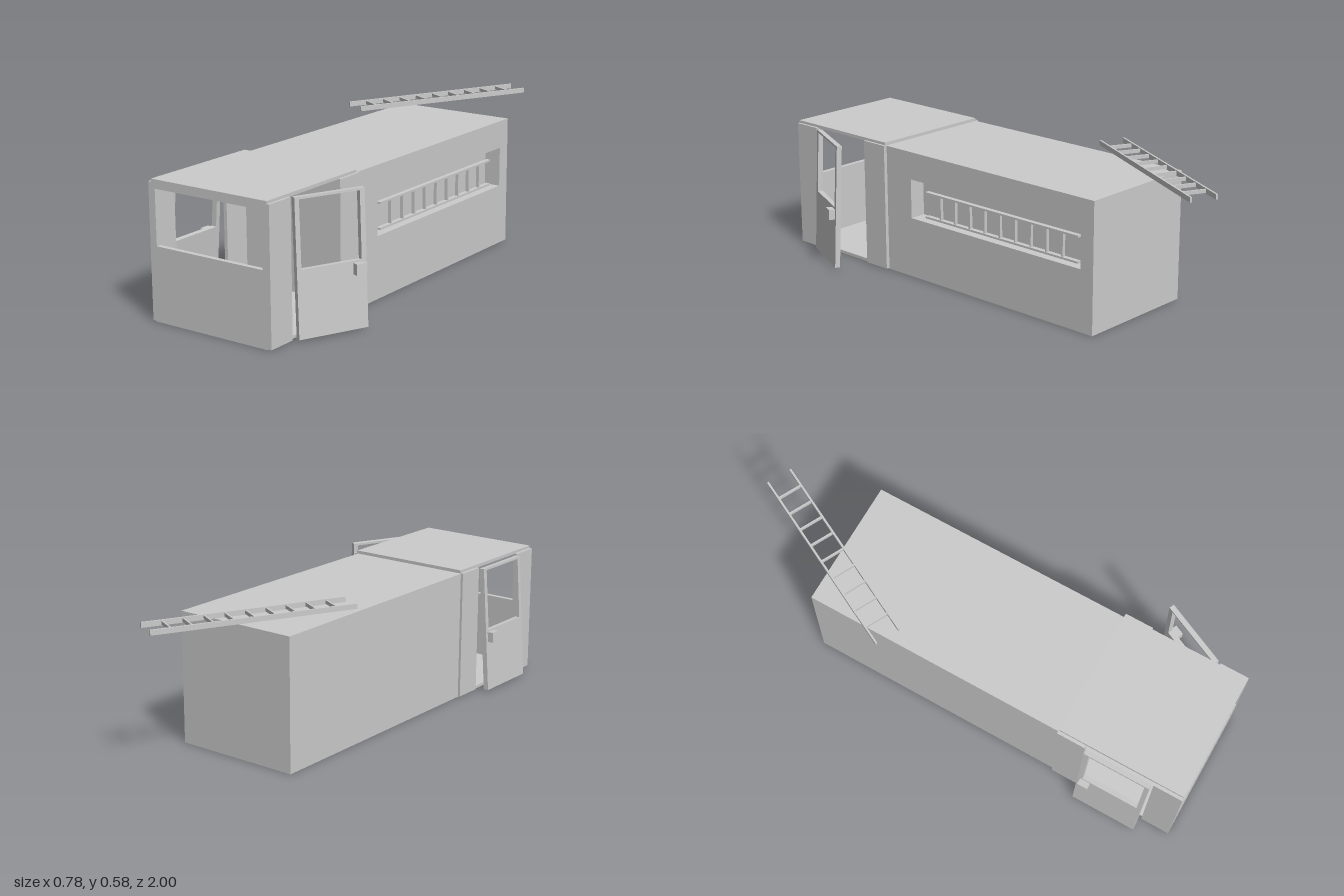
import * as THREE from 'three';

const material = new THREE.MeshStandardMaterial({ color: 0xcccccc, flatShading: true });

function add(parent, name, geometry) {
  const mesh = new THREE.Mesh(geometry, material);
  mesh.name = name;
  parent.add(mesh);
  return mesh;
}

// Box given by its limits along each axis
function box(parent, name, [x0, x1], [y0, y1], [z0, z1]) {
  const g = new THREE.BoxGeometry(x1 - x0, y1 - y0, z1 - z0);
  g.translate((x0 + x1) / 2, (y0 + y1) / 2, (z0 + z1) / 2);
  return add(parent, name, g);
}

// Upright plate with a rectangular opening; rectangles are [u0, u1, v0, v1]
function plate(outer, hole, depth) {
  const trace = (path, [u0, u1, v0, v1]) =>
    path.moveTo(u0, v0).lineTo(u1, v0).lineTo(u1, v1).lineTo(u0, v1).closePath();
  const shape = new THREE.Shape();
  trace(shape, outer);
  const opening = new THREE.Path();
  trace(opening, hole);
  shape.holes.push(opening);
  return new THREE.ExtrudeGeometry(shape, { depth, bevelEnabled: false });
}

// Ladder along z, its rails spaced along x and lying flat
function ladder(name) {
  const group = new THREE.Group();
  group.name = name;
  const length = 0.8, half = 0.055;
  for (const s of [-1, 1]) {
    const rail = add(group, 'ladderRail', new THREE.BoxGeometry(0.008, 0.02, length));
    rail.position.x = s * (half - 0.004);
  }
  for (let i = 1; i < 10; i++) {
    const rung = add(group, 'ladderRung', new THREE.BoxGeometry(2 * half - 0.016, 0.014, 0.007));
    rung.position.z = -length / 2 + i * length / 10;
  }
  return group;
}

// Door hinged at its front edge; side is +1 for left, -1 for right
function door(name, side, length) {
  const group = new THREE.Group();
  group.name = name;
  const thickness = 0.021;
  const panel = plate([0, length, 0, 0.517], [0.018, length - 0.02, 0.255, 0.508], thickness);
  panel.rotateY(Math.PI / 2);
  if (side < 0) panel.translate(-thickness, 0, 0);
  add(group, 'doorPanel', panel);
  const reach = [side * thickness, side * (thickness + 0.026)].sort((a, b) => a - b);
  box(group, 'doorHandle', reach, [0.205, 0.247], [-length + 0.012, -length + 0.055]);
  return group;
}

export function createModel() {
  const model = new THREE.Group();
  model.name = 'truck';

  // Rear body with a storage recess in its left side
  box(model, 'rearBody', [-0.305, 0.15], [0, 0.527], [-0.615, 0.475]);
  const wall = plate([-0.475, 0.615, 0, 0.527], [-0.335, 0.555, 0.25, 0.413], 0.07);
  wall.rotateY(Math.PI / 2);
  wall.translate(0.15, 0, 0);
  add(model, 'recessedSideWall', wall);

  // Hollow cab: floor, roof, front with windscreen opening, side panels
  box(model, 'cabFloor', [-0.305, 0.22], [0, 0.012], [0.475, 0.99]);
  box(model, 'cabRoof', [-0.302, 0.225], [0.527, 0.54], [0.475, 1]);
  const front = plate([-0.3, 0.215, 0, 0.527], [-0.285, 0.202, 0.29, 0.505], 0.02);
  front.translate(0, 0, 0.98);
  add(model, 'cabFront', front);
  for (const x of [[-0.315, -0.3], [0.215, 0.235]]) {
    box(model, 'frontSidePanel', x, [0.003, 0.529], [0.88, 1]);
    box(model, 'rearSidePanel', x, [0.003, 0.529], [0.472, 0.59]);
  }

  // Doors: the left one swung open, both leaning in at the top
  const leftDoor = door('leftDoor', 1, 0.28);
  leftDoor.position.set(0.245, 0.008, 0.87);
  leftDoor.rotation.set(0, -THREE.MathUtils.degToRad(25), 0.047);
  const rightDoor = door('rightDoor', -1, 0.275);
  rightDoor.position.set(-0.351, 0.008, 0.872);
  rightDoor.rotation.z = -0.073;
  model.add(leftDoor, rightDoor);

  // One ladder stowed in the recess, one above the roof
  const stowed = ladder('stowedLadder');
  stowed.rotation.z = Math.PI / 2;
  stowed.position.set(0.185, 0.311, -0.12);
  const roofLadder = ladder('roofLadder');
  roofLadder.rotation.y = -THREE.MathUtils.degToRad(27);
  roofLadder.position.set(-0.13, 0.575, -0.621);
  model.add(stowed, roofLadder);

  return model;
}
